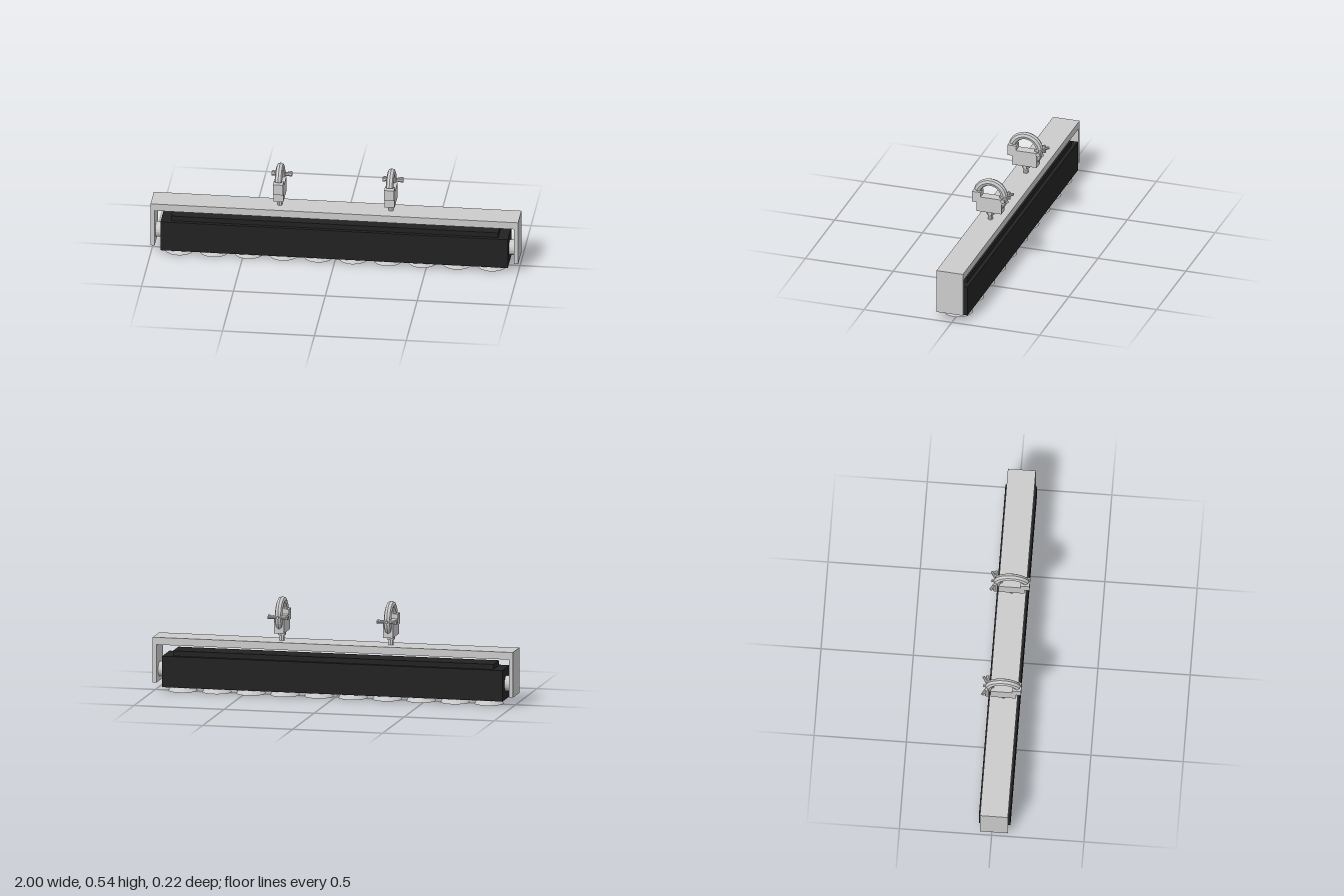
import * as THREE from 'three';

const grey = new THREE.MeshStandardMaterial({ color: 0xcccccc, flatShading: true });
const greyOpen = new THREE.MeshStandardMaterial({ color: 0xcccccc, flatShading: true, side: THREE.DoubleSide });
const black = new THREE.MeshStandardMaterial({ color: 0x222222 });
const MID = 0.0125; // z of the bar's centre line

function add(parent, name, geometry, material, x = 0, y = 0, z = 0) {
  const mesh = new THREE.Mesh(geometry, material);
  mesh.name = name;
  mesh.position.set(x, y, z);
  parent.add(mesh);
  return mesh;
}

// Box given by its y and z limits, centred on x
function slab(parent, name, width, y0, y1, z0, z1, material) {
  return add(parent, name, new THREE.BoxGeometry(width, y1 - y0, z1 - z0), material, 0, (y0 + y1) / 2, (z0 + z1) / 2);
}

// Cylinder between two points
function rod(parent, name, from, to, radius, sides) {
  const a = new THREE.Vector3(...from), b = new THREE.Vector3(...to);
  const mesh = add(parent, name, new THREE.CylinderGeometry(radius, radius, a.distanceTo(b), sides), grey);
  mesh.position.copy(a).lerp(b, 0.5);
  mesh.quaternion.setFromUnitVectors(new THREE.Vector3(0, 1, 0), b.sub(a).normalize());
  return mesh;
}

function createClamp() {
  const clamp = new THREE.Group();
  clamp.name = 'pipeClamp';

  // Mounting bolt and nut
  rod(clamp, 'stem', [0, 0.297, 0.012], [0, 0.332, 0.012], 0.014, 8);
  rod(clamp, 'stemNut', [0, 0.328, 0.012], [0, 0.348, 0.012], 0.022, 6);

  // Stepped saddle block
  slab(clamp, 'saddle', 0.054, 0.347, 0.433, -0.058, 0.082, grey);
  slab(clamp, 'saddleLip', 0.054, 0.4, 0.46, 0.06, 0.109, grey);

  // Curved hook with closed ends
  const R = 0.078, r = 0.0205, start = 0.33, arc = 4.4;
  const hook = new THREE.Group();
  hook.name = 'hook';
  hook.position.set(0, 0.44, 0.0115);
  hook.rotation.y = -Math.PI / 2;
  clamp.add(hook);
  add(hook, 'hookArc', new THREE.TorusGeometry(R, r, 8, 22, arc).rotateZ(start), grey);
  for (const [angle, turn] of [[start, 1], [start + arc, -1]]) {
    const cap = new THREE.CircleGeometry(r, 8).rotateX(turn * Math.PI / 2).translate(R, 0, 0).rotateZ(angle);
    add(hook, 'hookEnd', cap, grey);
  }

  // Closing screw with cross pin and wing nut
  rod(clamp, 'screw', [0, 0.439, -0.04], [0, 0.439, -0.1], 0.008, 8);
  rod(clamp, 'crossPin', [-0.042, 0.439, -0.074], [0.042, 0.439, -0.074], 0.01, 8);
  for (const s of [-1, 1]) {
    rod(clamp, 'wing', [s * 0.01, 0.439, -0.074], [s * 0.052, 0.439, -0.1], 0.008, 8);
    rod(clamp, 'pinEnd', [s * 0.042, 0.439, -0.074], [s * 0.056, 0.439, -0.074], 0.012, 8);
  }
  return clamp;
}

export function createModel() {
  const model = new THREE.Group();
  model.name = 'lightBar';

  // Housing with raised lid
  slab(model, 'housing', 1.89, 0.028, 0.198, -0.072, 0.098, black);
  slab(model, 'housingLid', 1.78, 0.198, 0.226, -0.052, 0.077, black);

  // U-shaped yoke, extruded along z
  const yoke = new THREE.Shape();
  [[-1, 0.05], [-0.978, 0.05], [-0.978, 0.258], [0.978, 0.258], [0.978, 0.05], [1, 0.05], [1, 0.298], [-1, 0.298]]
    .forEach(([x, y], i) => (i ? yoke.lineTo(x, y) : yoke.moveTo(x, y)));
  add(model, 'yoke', new THREE.ExtrudeGeometry(yoke, { depth: 0.151, bevelEnabled: false }), grey, 0, 0, -0.063);

  // Pivots joining housing and yoke
  for (const s of [-1, 1]) {
    rod(model, 'pivot', [s * 0.94, 0.114, MID], [s * 0.982, 0.114, MID], 0.042, 16);
  }

  // Row of open flared lens hoods
  const hood = new THREE.CylinderGeometry(0.062, 0.08, 0.028, 20, 1, true);
  for (let i = 0; i < 10; i++) {
    add(model, 'lensHood', hood, greyOpen, (i - 4.5) * 0.189, 0.014, MID);
  }

  // Two pipe clamps on the yoke
  for (const x of [-0.305, 0.3]) {
    const clamp = createClamp();
    clamp.position.x = x;
    model.add(clamp);
  }
  return model;
}
